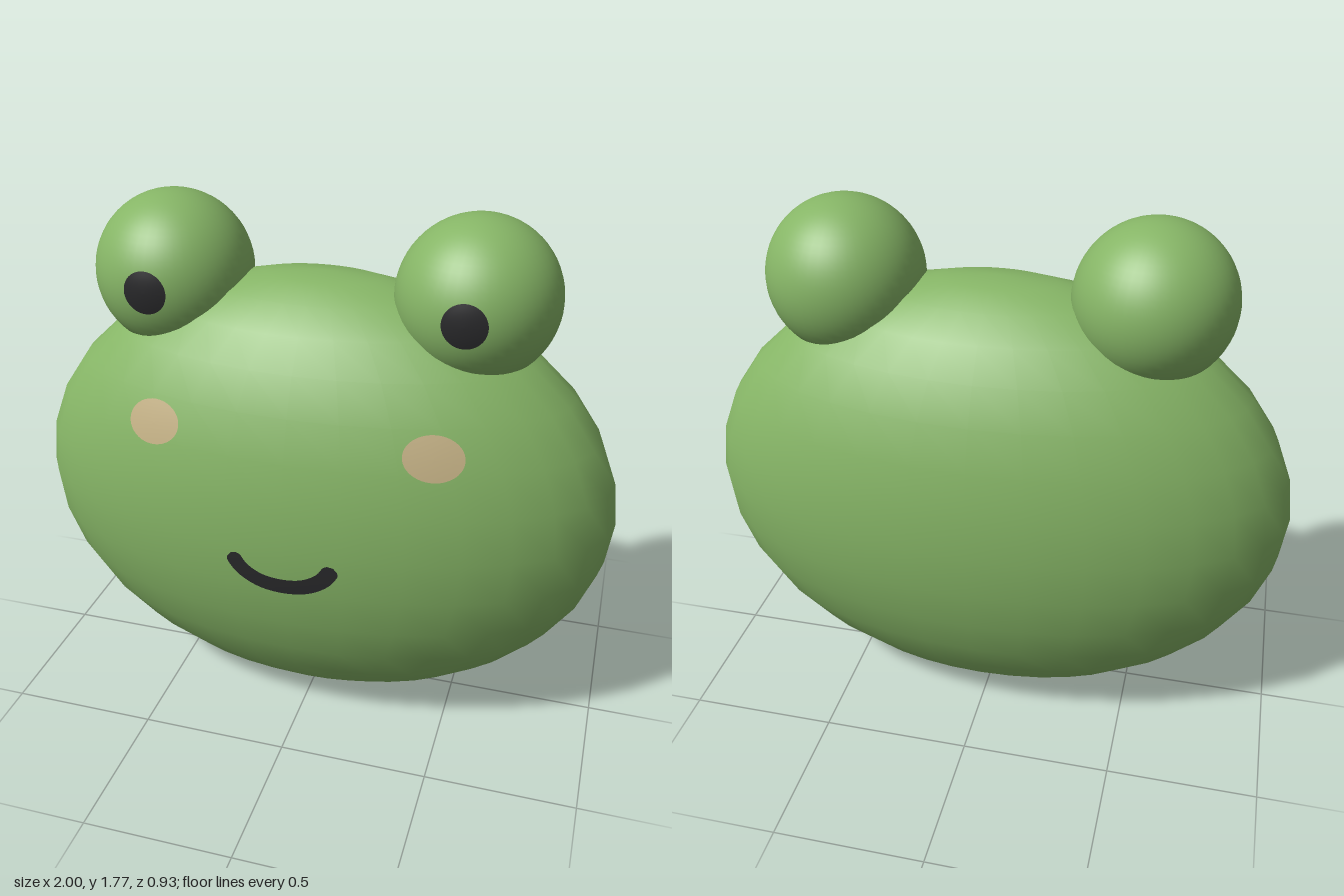
import * as THREE from 'three';

const BODY = { center: new THREE.Vector3(0, 0.78, 0), radii: new THREE.Vector3(1, 0.777, 0.467) };
const EYE_R = 0.26;

const paint = (color) => new THREE.MeshStandardMaterial({ color });

// Wraps a flat geometry (drawn in x, y) onto the front of an ellipsoid
function wrap(geometry, { center, radii }, lift = 0.004) {
  const p = geometry.attributes.position;
  for (let i = 0; i < p.count; i++) {
    const u = (p.getX(i) - center.x) / radii.x;
    const v = (p.getY(i) - center.y) / radii.y;
    p.setZ(i, center.z + radii.z * Math.sqrt(Math.max(0, 1 - u * u - v * v)) + lift);
  }
  geometry.computeVertexNormals();
  return geometry;
}

// Flat oval with inner rings, so it can follow a curved surface
function oval(x, y, rx, ry, tilt = 0) {
  return new THREE.RingGeometry(0, 1, 40, 5).scale(rx, ry, 1).rotateZ(tilt).translate(x, y, 0);
}

// Smile: a strip bent along a curve, with rounded ends
function smile() {
  const curve = new THREE.CatmullRomCurve3([
    [-0.17, 0.752], [-0.135, 0.7], [-0.075, 0.664], [0, 0.653], [0.075, 0.664], [0.135, 0.7], [0.17, 0.752],
  ].map(([x, y]) => new THREE.Vector3(x, y, 0)));
  const half = 0.028, length = curve.getLength() + half;
  const g = new THREE.PlaneGeometry(1, 2, 64, 4);
  const p = g.attributes.position;
  for (let i = 0; i < p.count; i++) {
    const t = p.getX(i) + 0.5;
    const fromEnd = Math.min(t, 1 - t) * length;
    const w = half * Math.sqrt(Math.max(0, 1 - Math.max(0, 1 - fromEnd / half) ** 2));
    const c = curve.getPointAt(t), d = curve.getTangentAt(t);
    const s = p.getY(i) * w;
    p.setXY(i, c.x - d.y * s, c.y + d.x * s);
  }
  return g;
}

export function createModel() {
  const group = new THREE.Group();
  const green = paint(0x86b566), dark = paint(0x29292b), blush = paint(0xc3b084);

  const add = (name, geometry, material) => {
    const mesh = new THREE.Mesh(geometry, material);
    mesh.name = name;
    group.add(mesh);
    return mesh;
  };

  // Flattened head
  const head = add('head', new THREE.SphereGeometry(1, 32, 16), green);
  head.scale.copy(BODY.radii);
  head.position.copy(BODY.center);

  // Eyes, pupils and cheeks on both sides
  for (const [side, s] of [['left', 1], ['right', -1]]) {
    const eye = {
      center: new THREE.Vector3(s * 0.5, 1.515, 0),
      radii: new THREE.Vector3(EYE_R, EYE_R, EYE_R),
    };
    add(side + 'Eye', new THREE.SphereGeometry(EYE_R, 48, 32), green).position.copy(eye.center);
    add(side + 'Pupil', wrap(oval(eye.center.x, eye.center.y, 0.07, 0.07), eye, 0.002), dark);
    add(side + 'Cheek', wrap(oval(s * 0.45, 1.13, 0.093, 0.068, -s * 0.2), BODY), blush);
  }

  add('mouth', wrap(smile(), BODY), dark);
  return group;
}
